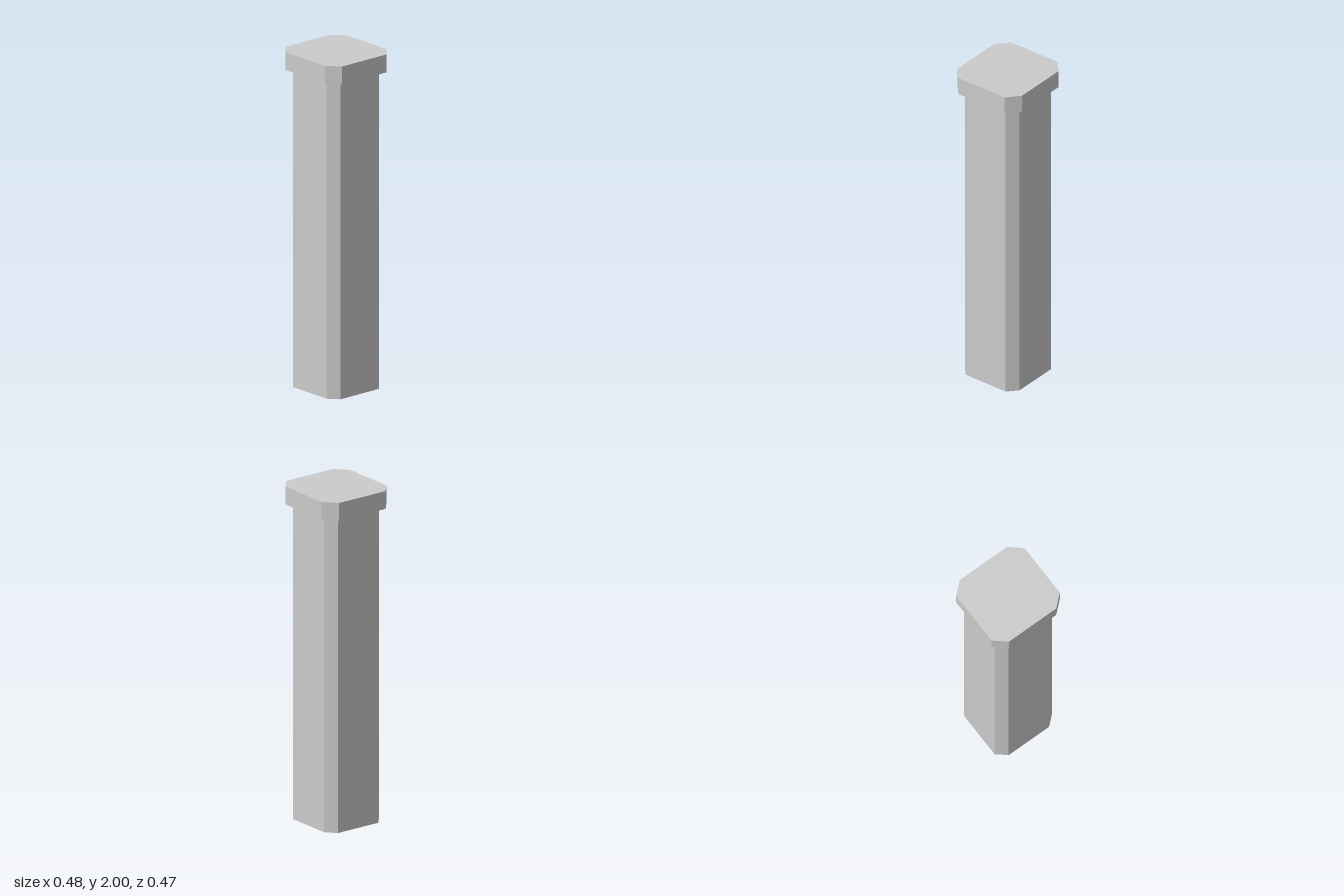
import * as THREE from 'three';

// Rectangle with cut corners, half sizes x and z, half lengths of the flats fx and fz
const ring = (y, x, z, fx, fz) => [
  [fx, z], [x, fz], [x, -fz], [fx, -z], [-fx, -z], [-x, -fz], [-x, fz], [-fx, z],
].map(([px, pz]) => [px, y, pz]);

// Skin a stack of rings from bottom to top and close both ends
function loft(rings) {
  const n = rings[0].length, index = [];
  for (let r = 0; r < rings.length - 1; r++) {
    for (let i = 0; i < n; i++) {
      const a = r * n + i, b = r * n + (i + 1) % n;
      index.push(a, b, b + n, a, b + n, a + n);
    }
  }
  const top = (rings.length - 1) * n;
  for (let i = 1; i < n - 1; i++) {
    index.push(0, i + 1, i, top, top + i, top + i + 1);
  }
  const geometry = new THREE.BufferGeometry();
  geometry.setAttribute('position', new THREE.Float32BufferAttribute(rings.flat(2), 3));
  geometry.setIndex(index);
  const flat = geometry.toNonIndexed();
  flat.computeVertexNormals();
  return flat;
}

export function createModel() {
  const group = new THREE.Group();
  group.name = 'pillar';
  const material = new THREE.MeshStandardMaterial({ color: 0xcccccc, flatShading: true });
  const add = (name, rings) => {
    const mesh = new THREE.Mesh(loft(rings), material);
    mesh.name = name;
    group.add(mesh);
  };

  // Straight shaft with chamfered corners
  add('shaft', [
    ring(0, 0.204, 0.198, 0.143, 0.145),
    ring(1.886, 0.204, 0.198, 0.143, 0.145),
  ]);

  // Wider cap, its underside sloping slightly down to the shaft
  add('cap', [
    ring(1.886, 0.204, 0.198, 0.143, 0.145),
    ring(1.893, 0.242, 0.233, 0.167, 0.168),
    ring(2, 0.242, 0.233, 0.167, 0.168),
  ]);

  return group;
}
